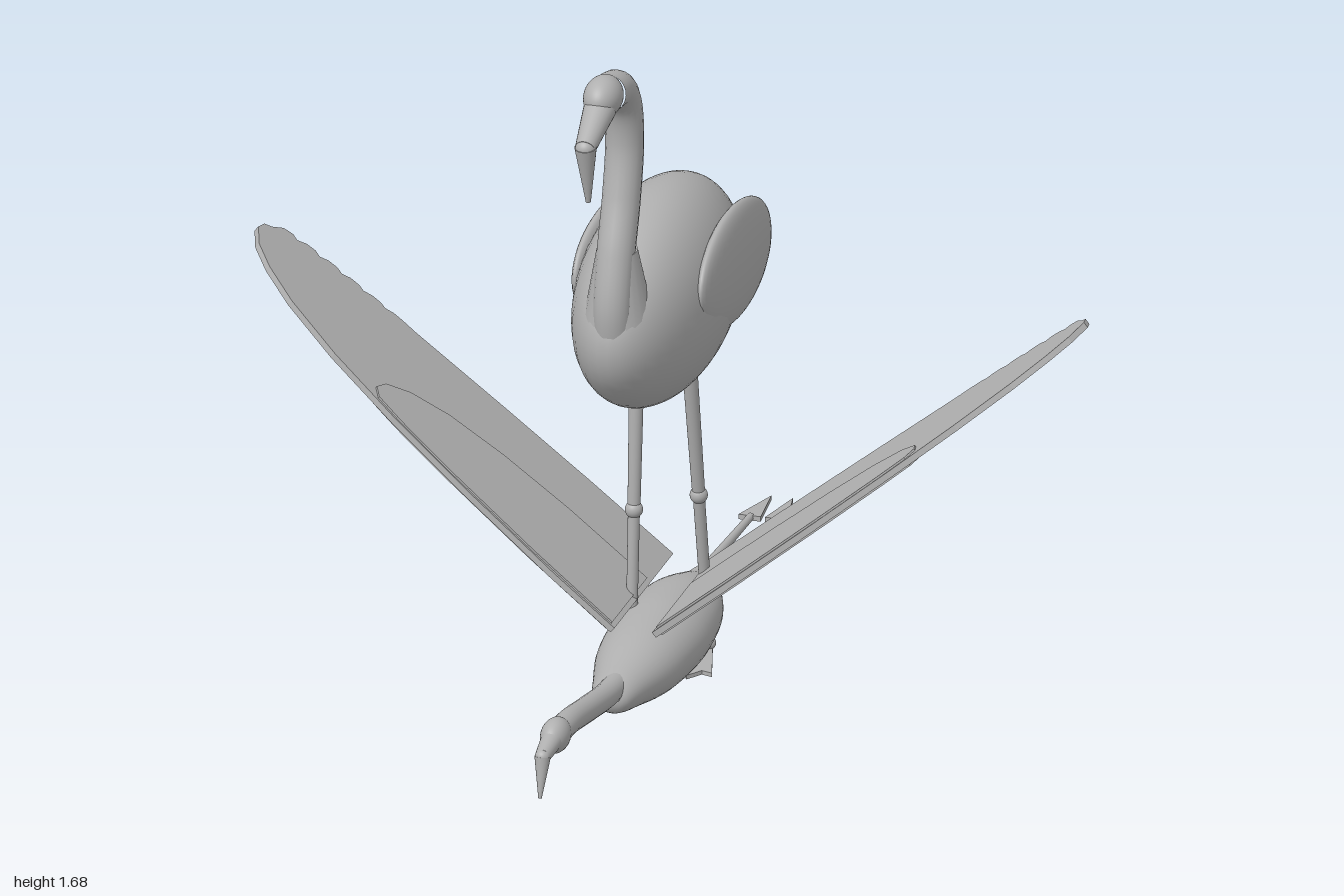
import * as THREE from 'three';

const grey = new THREE.MeshStandardMaterial({ color: 0xb0b0b0 });
grey.name = 'plain grey';
const V = (x, y, z) => new THREE.Vector3(x, y, z);

function add(parent, name, geometry) {
  const mesh = new THREE.Mesh(geometry, grey);
  mesh.name = name;
  parent.add(mesh);
  return mesh;
}

function ellipsoid(parent, name, pos, radii, tilt = 0, yaw = 0) {
  const m = add(parent, name, new THREE.SphereGeometry(1, 40, 28));
  m.scale.set(...radii);
  m.position.set(...pos);
  m.rotation.set(tilt, yaw, 0);
  return m;
}

// Tapered rod from a to b, optionally squashed sideways or vertically
function rod(parent, name, a, b, ra, rb, sx = 1, sz = 1) {
  const dir = b.clone().sub(a);
  const g = new THREE.CylinderGeometry(rb, ra, dir.length(), 24);
  g.scale(sx, 1, sz);
  const m = add(parent, name, g);
  m.position.copy(a).add(b).multiplyScalar(0.5);
  m.quaternion.setFromUnitVectors(V(0, 1, 0), dir.normalize());
  return m;
}

// Smooth neck through [z, y] points in the middle plane
function neck(parent, points, r) {
  const curve = new THREE.CatmullRomCurve3(points.map(([z, y]) => V(0, y, z)));
  add(parent, 'neck', new THREE.TubeGeometry(curve, 48, r, 20));
}

// Flat plate lying in x-z, from [x, z] points
function plate(points, thickness) {
  const shape = new THREE.Shape(points.map(p => new THREE.Vector2(...p)));
  const g = new THREE.ExtrudeGeometry(shape, { depth: thickness, bevelEnabled: false });
  g.translate(0, 0, -thickness / 2);
  g.rotateX(Math.PI / 2);
  return g;
}

function standingBird() {
  const bird = new THREE.Group();
  bird.name = 'standingBird';
  ellipsoid(bird, 'body', [0, 0.98, 0.025], [0.17, 0.25, 0.405]);
  rod(bird, 'tail', V(0, 0.98, -0.235), V(0, 0.835, -0.615), 0.17, 0.002, 0.62, 1);

  // Neck, head and bent beak
  neck(bird, [[0.375, 0.98], [0.385, 1.08], [0.36, 1.2], [0.315, 1.33], [0.29, 1.46],
    [0.308, 1.56], [0.355, 1.612], [0.43, 1.63]], 0.045);
  rod(bird, 'neckBase', V(0, 1.0, 0.335), V(0, 1.21, 0.35), 0.088, 0.048);
  ellipsoid(bird, 'head', [0, 1.635, 0.46], [0.045, 0.05, 0.065]);
  rod(bird, 'beakBase', V(0, 1.615, 0.49), V(0, 1.562, 0.605), 0.038, 0.024);
  ellipsoid(bird, 'beakBend', [0, 1.562, 0.602], [0.024, 0.024, 0.024]);
  rod(bird, 'beakTip', V(0, 1.565, 0.602), V(0, 1.42, 0.58), 0.026, 0.006);

  for (const s of [-1, 1]) {
    ellipsoid(bird, 'foldedWing', [s * 0.139, 1.005, -0.122], [0.037, 0.142, 0.318], -0.16, s * 0.04);

    // Striding legs: one forward, one back
    const hip = V(s * 0.058, 0.8, s < 0 ? 0 : -0.03);
    const ankle = V(s * 0.06, 0.02, s < 0 ? 0.045 : -0.185);
    const knee = hip.clone().lerp(ankle, 0.485);
    rod(bird, 'upperLeg', hip, knee, 0.018, 0.015);
    rod(bird, 'lowerLeg', knee, ankle, 0.014, 0.013);
    ellipsoid(bird, 'knee', knee.toArray(), [0.021, 0.021, 0.021]);
    ellipsoid(bird, 'ankle', ankle.toArray(), [0.016, 0.016, 0.016]);
    const foot = add(bird, 'webbedFoot', plate(
      [[0, -0.03], [0.052, 0.15], [0.025, 0.142], [0, 0.18], [-0.025, 0.142], [-0.052, 0.15]], 0.01));
    foot.position.set(ankle.x, 0.005, ankle.z);
  }
  return bird;
}

const RISE = Math.atan(0.81);

// Spread wing plate, outlined by [x, z] as seen from above
function spreadWing(parent, name, outline, thickness, s) {
  const g = plate(outline.map(([x, z]) => [s * (x - 0.05) / Math.cos(RISE), z]), thickness);
  g.rotateZ(s * RISE);
  add(parent, name, g).position.set(s * 0.05, 0.2, 0);
}

function flyingBird() {
  const bird = new THREE.Group();
  bird.name = 'flyingBird';

  // Spindle-shaped body lying along z
  const profile = [[0, -0.34], [0.032, -0.325], [0.06, -0.26], [0.088, -0.16], [0.1, -0.04],
    [0.1, 0.06], [0.088, 0.19], [0.062, 0.31], [0.038, 0.4], [0, 0.42]];
  const spline = new THREE.SplineCurve(profile.map(p => new THREE.Vector2(...p)));
  const bodyPoints = spline.getPoints(40).map(p => new THREE.Vector2(Math.max(p.x, 0), p.y));
  const body = new THREE.LatheGeometry(bodyPoints, 40);
  body.rotateX(Math.PI / 2);
  body.scale(1.14, 0.93, 1);
  add(bird, 'body', body).position.y = 0.105;
  rod(bird, 'tail', V(0, 0.135, -0.2), V(0, 0.143, -0.385), 0.055, 0.002, 1, 0.35);

  // Outstretched neck, head and beak
  neck(bird, [[0.32, 0.12], [0.45, 0.132], [0.6, 0.158], [0.74, 0.183], [0.84, 0.19]], 0.03);
  ellipsoid(bird, 'head', [0, 0.19, 0.84], [0.034, 0.041, 0.056]);
  rod(bird, 'beakBase', V(0, 0.19, 0.87), V(0, 0.178, 0.945), 0.026, 0.018);
  ellipsoid(bird, 'beakBend', [0, 0.178, 0.944], [0.018, 0.018, 0.018]);
  rod(bird, 'beakTip', V(0, 0.178, 0.944), V(0, 0.082, 0.965), 0.019, 0.004);

  // Leading edge to the tip, then a scalloped trailing edge
  const wing = [[0.05, 0.222], [0.2, 0.22], [0.4, 0.203], [0.6, 0.173], [0.75, 0.135], [0.87, 0.083],
    [0.94, 0.03], [0.98, -0.02], [1, -0.08], [0.995, -0.11]];
  const feathers = 6;
  for (let i = 0; i < feathers; i++) {
    for (const [f, bump] of [[0, 0], [0.35, 0.014], [0.75, 0.014]]) {
      const t = (i + f) / feathers;
      wing.push([0.98 - 0.3 * t, -0.125 - 0.08 * Math.sqrt(t) - bump * (1 - 0.5 * t)]);
    }
  }
  wing.push([0.66, -0.21], [0.45, -0.228], [0.25, -0.241], [0.05, -0.247]);
  const covert = [[0.06, 0.215], [0.25, 0.21], [0.45, 0.192], [0.58, 0.172], [0.64, 0.155], [0.655, 0.125],
    [0.645, 0.085], [0.6, 0.035], [0.52, -0.01], [0.4, -0.042], [0.25, -0.06], [0.06, -0.063]];

  for (const s of [-1, 1]) {
    spreadWing(bird, 'spreadWing', wing, 0.015, s);
    spreadWing(bird, 'wingCovert', covert, 0.024, s);

    // Trailing legs with pointed feet
    const x = s * 0.032;
    rod(bird, 'upperLeg', V(x, 0.09, -0.24), V(x, 0.085, -0.48), 0.014, 0.012);
    ellipsoid(bird, 'knee', [x, 0.085, -0.48], [0.015, 0.015, 0.015]);
    rod(bird, 'lowerLeg', V(x, 0.085, -0.48), V(x, 0.072, -0.82), 0.012, 0.009);
    const foot = add(bird, 'trailingFoot', plate(
      [[-0.027, 0], [0.027, 0], [-s * 0.006, -0.155]], 0.012));
    foot.position.set(x, 0.072, -0.81);
    foot.rotation.x = -0.07;
  }
  return bird;
}

export function createModel() {
  const model = new THREE.Group();
  model.name = 'twoWadingBirds';
  model.add(standingBird(), flyingBird());
  return model;
}
